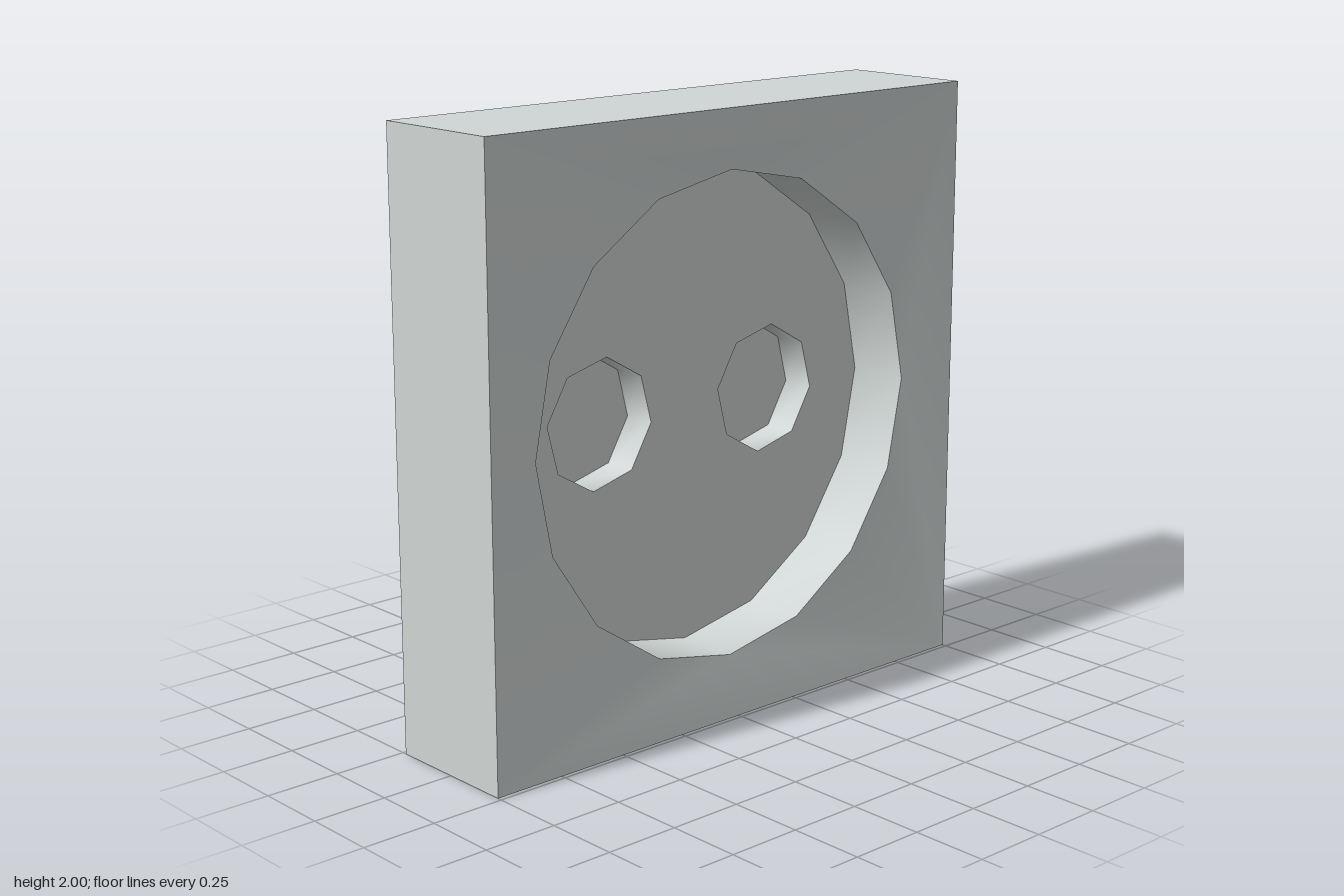
import * as THREE from 'three';

const HALF = 0.235; // half thickness of the slab
const RIM = 0.192; // x of the recess rim
const FLOOR = -0.027; // x of the recess floor
const PIT = -0.142; // x of the socket floors

// Corner points of a regular polygon, counter-clockwise as seen from +x (u runs towards -z)
function polygon(sides, radius, u = 0, phase = 0) {
  return Array.from({ length: sides }, (_, i) => {
    const a = phase + (i / sides) * Math.PI * 2;
    return new THREE.Vector2(u + radius * Math.cos(a), 1 + radius * Math.sin(a));
  });
}

function surface(points, index) {
  const g = new THREE.BufferGeometry();
  g.setAttribute('position', new THREE.Float32BufferAttribute(points.flat(), 3));
  g.setIndex(index);
  g.computeVertexNormals();
  return g;
}

const at = (outline, x) => outline.map((p) => [x, p.y, -p.x]);

// Smooth wall facing the inside of a hole
function wall(outline, xFront, xBack) {
  const n = outline.length, index = [];
  for (let i = 0; i < n; i++) {
    const j = (i + 1) % n;
    index.push(n + i, j, n + j, n + i, i, j);
  }
  return surface([...at(outline, xFront), ...at(outline, xBack)], index);
}

// Flat face towards +x, with optional holes
function face(outline, x, holes = []) {
  const shape = new THREE.Shape(outline);
  for (const h of holes) shape.holes.push(new THREE.Path(h));
  return new THREE.ShapeGeometry(shape).rotateY(Math.PI / 2).translate(x, 0, 0);
}

// Shallow dished face from the square border in to the round rim
function dish(rim) {
  const corners = polygon(4, Math.SQRT2, 0, Math.PI / 4);
  const n = rim.length, per = n / 4, index = [];
  for (let q = 0; q < 4; q++) {
    const c = n + q;
    for (let k = q * per; k < (q + 1) * per; k++) index.push(c, (k + 1) % n, k);
    index.push(c, n + ((q + 1) % 4), ((q + 1) * per) % n);
  }
  return surface([...at(rim, RIM), ...at(corners, HALF)], index);
}

export function createModel() {
  const model = new THREE.Group();
  model.name = 'wallSocket';
  const plastic = new THREE.MeshStandardMaterial({ color: 0xd0d6d5 });
  plastic.name = 'paleGrey';
  const add = (name, geometry) => {
    const mesh = new THREE.Mesh(geometry, plastic);
    mesh.name = name;
    model.add(mesh);
  };

  // Slab, left open on the +x side
  const slab = new THREE.BoxGeometry(HALF * 2, 2, 2).translate(0, 1, 0);
  slab.setIndex(Array.from(slab.index.array).slice(6));
  slab.clearGroups();
  add('slab', slab);

  // Dished face and round recess
  const rim = polygon(16, 0.8);
  const pits = [-0.362, 0.362].map((u) => polygon(8, 0.217, u, -Math.PI * 8 / 180));
  add('dishedFace', dish(rim));
  add('recessWall', wall(rim, RIM, FLOOR));
  add('recessFloor', face(rim, FLOOR, pits));

  // Two pin holes
  pits.forEach((pit, i) => {
    const side = i ? 'back' : 'front';
    add(side + 'PinHoleWall', wall(pit, FLOOR, PIT));
    add(side + 'PinHoleFloor', face(pit, PIT));
  });
  return model;
}
